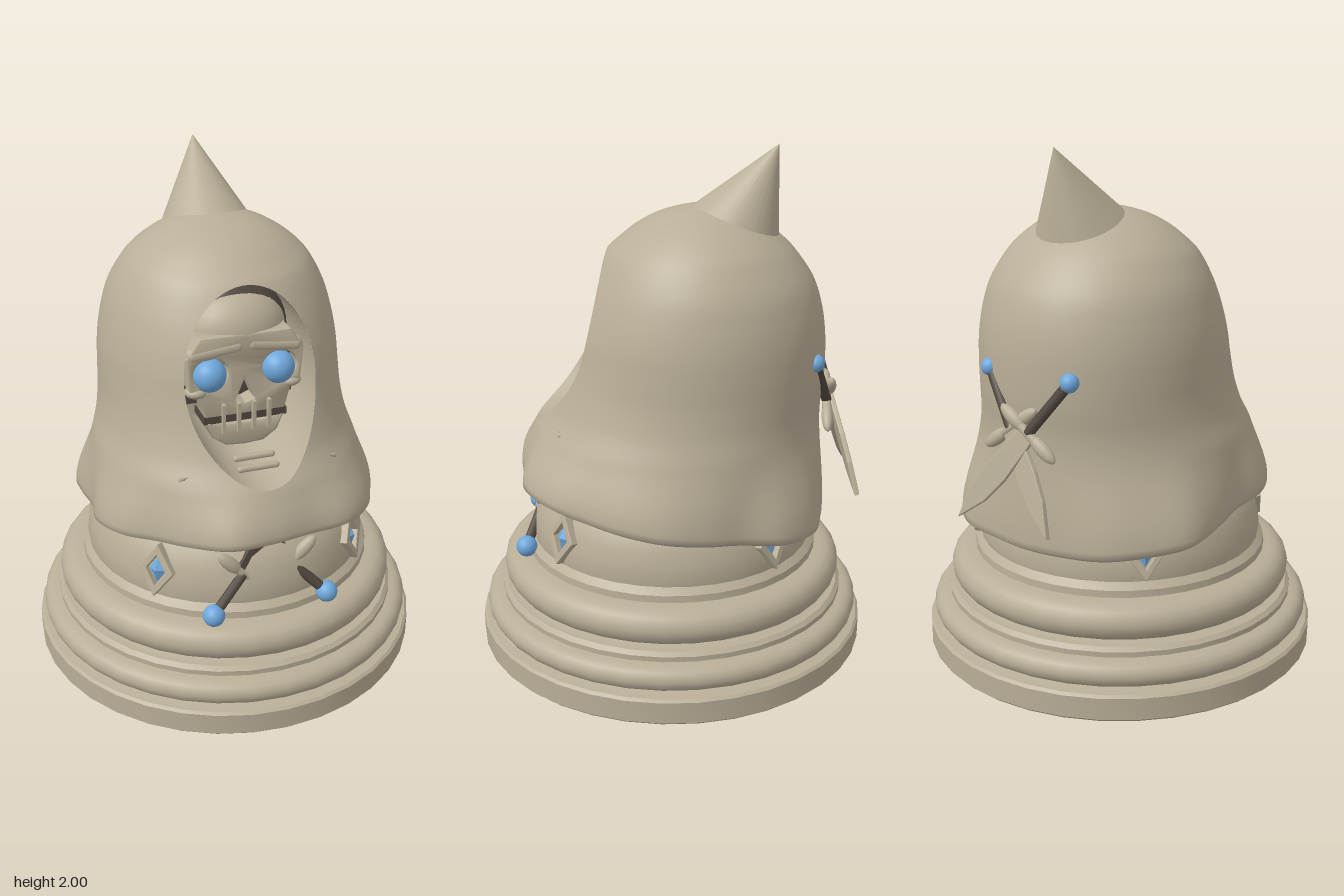
import * as THREE from 'three';
import { toCreasedNormals } from 'three/addons/utils/BufferGeometryUtils.js';

const mat = (name, color) => Object.assign(new THREE.MeshStandardMaterial({ color }), { name });
const V = (x, y, z) => new THREE.Vector3(x, y, z);

// hood profile rows: height, half width, front z, back z
const PROFILE = [
  [0.5, 0.53, 0.56, -0.6], [0.9, 0.52, 0.54, -0.59], [1, 0.495, 0.485, -0.59], [1.1, 0.48, 0.443, -0.6],
  [1.2, 0.475, 0.41, -0.602], [1.3, 0.468, 0.385, -0.597], [1.4, 0.45, 0.352, -0.58], [1.5, 0.42, 0.308, -0.545],
  [1.6, 0.365, 0.25, -0.475], [1.65, 0.32, 0.195, -0.425], [1.7, 0.255, 0.13, -0.36], [1.74, 0.18, 0.05, -0.29],
  [1.765, 0.1, -0.04, -0.21], [1.78, 0, -0.12, -0.12]];
// hem radius every 15 degrees, from the front towards +x
const HEM = [0.61, 0.6, 0.635, 0.625, 0.6, 0.6, 0.6, 0.585, 0.58, 0.635, 0.65, 0.62,
  0.615, 0.62, 0.64, 0.64, 0.64, 0.585, 0.555, 0.59, 0.595, 0.575, 0.6, 0.635];
const hemCurve = new THREE.CatmullRomCurve3(HEM.map((r, i) => {
  const a = (i / HEM.length) * Math.PI * 2;
  return V(r * Math.sin(a), 0, r * Math.cos(a));
}), true, 'catmullrom', 0.5);
const OPEN = { y: 1.26, w: 0.255, h: 0.345 }; // face opening ellipse

// smooth lookup of one profile column
function profile(y, k) {
  const P = PROFILE, n = P.length;
  let i = 0;
  while (i < n - 2 && y > P[i + 1][0]) i++;
  const slope = (j) => {
    const a = P[Math.max(j - 1, 0)], b = P[Math.min(j + 1, n - 1)];
    return (b[k] - a[k]) / (b[0] - a[0]);
  };
  const h = P[i + 1][0] - P[i][0], t = THREE.MathUtils.clamp((y - P[i][0]) / h, 0, 1), u = 1 - t;
  return u * u * (1 + 2 * t) * P[i][k] + t * u * u * h * slope(i)
    + t * t * (3 - 2 * t) * P[i + 1][k] - t * t * u * h * slope(i + 1);
}

function hemPoint(a) {
  const p = hemCurve.getPoint((((a / (Math.PI * 2)) % 1) + 1) % 1);
  p.y = 0.645 + 0.14 * p.z;
  return p;
}

// hood surface: elliptical sections flaring into the wavy hem
function hoodPoint(a, y) {
  const f = profile(y, 2), b = profile(y, 3), hem = hemPoint(a);
  const p = V(profile(y, 1) * Math.sin(a), y, (f + b) / 2 + ((f - b) / 2) * Math.cos(a));
  const w = 1 - THREE.MathUtils.smoothstep(y, hem.y, 0.95);
  return V(p.x + (hem.x - p.x) * w, y, p.z + (hem.z - p.z) * w);
}
const frontPoint = (x, y) => hoodPoint(Math.asin(x / profile(y, 1)), y);

function buildGeometry(points, index) {
  const g = new THREE.BufferGeometry().setFromPoints(points);
  g.setIndex(index);
  g.computeVertexNormals();
  return g;
}

function hoodGeometry() {
  const N = 144, M = 80, pts = [], inside = [], index = [];
  for (let j = -2; j <= M; j++) for (let i = 0; i < N; i++) {
    const a = (i / N) * Math.PI * 2, hem = hemPoint(a);
    let p, hole = false;
    if (j < 0) { // rolled underside
      const s = j === -2 ? 0.72 : 0.97;
      p = V(hem.x * s, hem.y + (j === -2 ? 0.02 : -0.015), hem.z * s);
    } else {
      p = hoodPoint(a, hem.y + (1.78 - hem.y) * Math.sin((j / M) * Math.PI / 2));
      const rho = Math.hypot(p.x / OPEN.w, (p.y - OPEN.y) / OPEN.h);
      hole = p.z > 0 && rho < 1;
      // pull the cut edge onto the ellipse
      if (hole && rho > 0.3) p = frontPoint(p.x / rho, OPEN.y + (p.y - OPEN.y) / rho);
    }
    pts.push(p);
    inside.push(hole);
  }
  const tri = (...t) => { if (!t.every((v) => inside[v])) index.push(...t); };
  for (let j = 0; j < M + 2; j++) for (let i = 0; i < N; i++) {
    const k = (i + 1) % N, a = j * N + i, b = j * N + k, c = b + N, d = a + N;
    tri(a, b, c);
    tri(a, c, d);
  }
  return buildGeometry(pts, index);
}

// inner wall and back of the face opening
function cavityGeometry() {
  const N = 64, pts = [], index = [];
  for (let i = 0; i < N; i++) {
    const c = Math.cos((i / N) * Math.PI * 2) * OPEN.w, s = Math.sin((i / N) * Math.PI * 2) * OPEN.h;
    pts.push(frontPoint(c, OPEN.y + s), V(c * 0.96, OPEN.y + s * 0.96, -0.02));
    const a = 2 * i, b = 2 * ((i + 1) % N);
    index.push(a, b, b + 1, a, b + 1, a + 1, 2 * N, a + 1, b + 1);
  }
  pts.push(V(0, OPEN.y, -0.02));
  return toCreasedNormals(buildGeometry(pts, index), 0.7);
}

const polygon = (p) => new THREE.Shape(p.map(([x, y]) => new THREE.Vector2(x, y)));
const mirrored = (half) => polygon([...half, ...half.slice().reverse().map(([x, y]) => [-x, y])]);
const extrude = (shape, depth, bevel) => new THREE.ExtrudeGeometry(shape, {
  depth, curveSegments: 20, bevelEnabled: bevel > 0, bevelSize: bevel, bevelThickness: bevel, bevelSegments: 2 });

export function createModel() {
  const root = new THREE.Group();
  root.name = 'hoodedSkullPiece';
  const stone = mat('stone', 0xb9ae97), blue = mat('blue', 0x6fa8dc), dark = mat('darkBrown', 0x51483f);
  const add = (name, geo, m, pos = [0, 0, 0], parent = root) => {
    const mesh = new THREE.Mesh(geo, m);
    mesh.name = name;
    mesh.position.set(...pos);
    parent.add(mesh);
    return mesh;
  };

  // turned base: plinth, two rounded mouldings, bead and dome
  const ring = (r, y0, y1) => Array.from({ length: 9 }, (_, i) => {
    const a = (i / 8 - 0.5) * Math.PI, h = (y1 - y0) / 2;
    return [r + h * Math.cos(a), (y0 + y1) / 2 + h * Math.sin(a)];
  });
  const base = [[0, 0], [0.775, 0], [0.785, 0.01], [0.785, 0.095], [0.775, 0.105], [0.72, 0.11],
    ...ring(0.715, 0.112, 0.212), [0.7, 0.215], [0.7, 0.235], [0.685, 0.25], [0.62, 0.25],
    ...ring(0.617, 0.252, 0.395), [0.59, 0.398], [0.588, 0.425], [0.575, 0.44], [0.565, 0.45], [0.568, 0.48],
    [0.562, 0.53], [0.55, 0.58], [0.53, 0.63], [0.49, 0.68], [0.4, 0.74], [0, 0.78]];
  add('base', toCreasedNormals(new THREE.LatheGeometry(base.map((p) => new THREE.Vector2(...p)), 36), 0.6), stone);

  // hood and its pointed tip
  add('hood', hoodGeometry(), stone);
  add('hoodOpening', cavityGeometry(), stone);
  const tip = [V(0, 2, -0.4)], tipIndex = [];
  for (let i = 0; i < 32; i++) {
    const a = (i / 32) * Math.PI * 2;
    tip.push(V(0.18 * Math.sin(a), 1.7 + 0.055 * Math.cos(a), -0.235 + 0.175 * Math.cos(a)));
    tipIndex.push(0, i + 1, ((i + 1) % 32) + 1);
  }
  add('hoodTip', toCreasedNormals(buildGeometry(tip, tipIndex), 0.6), stone);
  for (const s of [-1, 1]) {
    const p = frontPoint(s * 0.29, 0.95);
    add('hoodNub', new THREE.ConeGeometry(0.014, 0.04, 6), stone, p.toArray()).rotation.set(0.9, 0, s * 0.6);
  }

  // skull
  const skull = new THREE.Group();
  skull.name = 'skull';
  root.add(skull);
  const ball = new THREE.SphereGeometry(1, 32, 20);
  add('skullShadow', ball, dark, [0, 1.37, 0.08], skull).scale.set(0.22, 0.22, 0.14);
  add('cranium', ball, stone, [0, 1.39, 0.11], skull).scale.set(0.2, 0.165, 0.15);
  const face = mirrored([[0, 1.1], [0.15, 1.1], [0.17, 1.18], [0.21, 1.22], [0.22, 1.34], [0.17, 1.41], [0, 1.41]]);
  for (const s of [-1, 1]) {
    face.holes.push(new THREE.Path().absellipse(s * 0.135, 1.275, 0.078, 0.07, 0, Math.PI * 2, true));
  }
  face.holes.push(new THREE.Path([[0, 1.26], [-0.05, 1.15], [0, 1.13], [0.05, 1.15]].map((p) => new THREE.Vector2(...p))));
  add('face', toCreasedNormals(extrude(face, 0.11, 0.01), 0.6), stone, [0, 0, 0.14], skull);
  add('sockets', new THREE.BoxGeometry(0.42, 0.24, 0.04), dark, [0, 1.25, 0.165], skull);
  add('mouth', new THREE.BoxGeometry(0.33, 0.03, 0.12), dark, [0, 1.085, 0.2], skull);
  const jaw = mirrored([[0, 0.975], [0.07, 0.98], [0.12, 1.015], [0.145, 1.07], [0.07, 1.05], [0, 1.05]]);
  add('jaw', toCreasedNormals(extrude(jaw, 0.1, 0.012), 0.6), stone, [0, 0, 0.15], skull);
  for (const x of [-0.09, -0.03, 0.03, 0.09]) {
    add('tooth', new THREE.BoxGeometry(0.013, 0.12, 0.02), stone, [x, 1.09, 0.27], skull);
  }
  for (const s of [-1, 1]) {
    add('eye', ball, blue, [s * 0.135, 1.263, 0.235], skull).scale.setScalar(0.065);
    const brow = add('brow', new THREE.CapsuleGeometry(0.03, 0.17, 6, 12), stone, [s * 0.115, 1.36, 0.235], skull);
    brow.rotation.z = Math.PI / 2 - s * 0.12;
    const cheek = add('cheekbone', ball, stone, [s * 0.185, 1.2, 0.23], skull);
    cheek.scale.set(0.045, 0.025, 0.04);
  }
  for (const [y, z] of [[0.945, 0.41], [0.965, 0.36]]) {
    add('neckRidge', new THREE.CapsuleGeometry(0.013, 0.14, 4, 8), stone, [0, y, z], skull).rotation.z = Math.PI / 2;
  }

  // crossed swords, each built along +y from its pommel
  function sword(name, from, to, out, o) {
    const g = new THREE.Group(), dir = to.clone().sub(from), len = dir.length();
    dir.normalize();
    const side = dir.clone().cross(V(0, 0, out)).normalize();
    g.quaternion.setFromRotationMatrix(new THREE.Matrix4().makeBasis(side, dir, side.clone().cross(dir)));
    g.position.copy(from);
    g.name = name;
    root.add(g);
    add('pommel', new THREE.SphereGeometry(o.pommel, 20, 14), blue, [0, 0, 0], g);
    add('grip', new THREE.CylinderGeometry(0.02, 0.02, o.grip, 10), dark, [0, o.grip / 2, 0], g);
    const guard = add('guard', new THREE.CylinderGeometry(0.018, 0.018, o.guard / 2, 10), stone, [0, o.grip, 0], g);
    guard.rotation.z = Math.PI / 2;
    for (const s of [-1, 1]) { // tapering guard arms
      const arm = add('guardArm', new THREE.SphereGeometry(1, 14, 10), stone, [s * o.guard * 0.27, o.grip, 0], g);
      arm.scale.set(o.guard * 0.23, 0.026, 0.022);
    }
    const b = len - o.grip, w = o.width;
    const leaf = mirrored([[0, 0], [w * 0.7, 0], [w, b * 0.45], [w * 0.8, b * 0.72], [0, b]]);
    add('blade', extrude(leaf, 0.012, 0.004), o.blade, [0, o.grip, -0.006], g);
  }
  for (const s of [-1, 1]) {
    const dz = s * 0.008;
    sword('frontSword', V(s * 0.23, 0.44, 0.575 - dz), V(-s * 0.1, 0.76, 0.45 - dz), 1,
      { pommel: 0.042, grip: 0.19, guard: 0.28, width: 0.05, blade: dark });
    sword('backSword', V(s * 0.19, 1.21, -0.56 + dz), V(-s * 0.2, 0.68, -0.725 + dz), -1,
      { pommel: 0.035, grip: 0.25, guard: 0.3, width: 0.045, blade: stone });
  }

  // four diamond gems in frames around the dome
  for (let i = 0; i < 4; i++) {
    const g = new THREE.Group(), a = Math.PI / 4 + (i * Math.PI) / 2;
    g.name = 'gem';
    g.position.set(0.555 * Math.sin(a), 0.56, 0.555 * Math.cos(a));
    g.rotation.set(-0.2, a, 0, 'YXZ');
    root.add(g);
    const frame = polygon([[0, -0.1], [0.07, 0], [0, 0.1], [-0.07, 0]]);
    frame.holes.push(new THREE.Path([[0, -0.068], [-0.046, 0], [0, 0.068], [0.046, 0]].map((p) => new THREE.Vector2(...p))));
    add('gemFrame', extrude(frame, 0.03, 0.004), stone, [0, 0, -0.012], g);
    add('gemStone', new THREE.OctahedronGeometry(1), blue, [0, 0, 0], g).scale.set(0.036, 0.055, 0.025);
  }
  return root;
}
